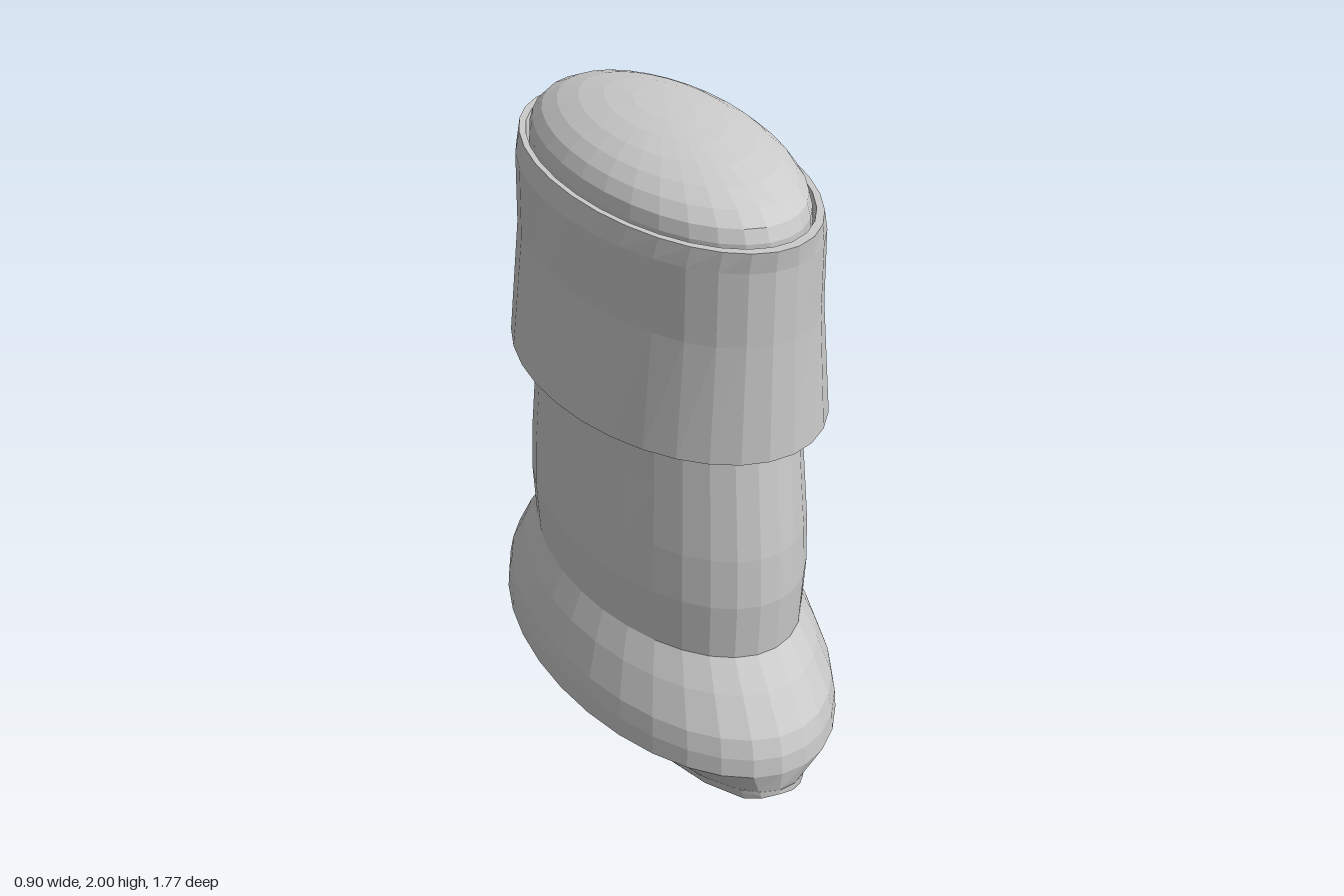
import * as THREE from 'three';

const SEGMENTS = 32;

const material = () => new THREE.MeshStandardMaterial({ color: 0xcccccc, flatShading: true, side: THREE.DoubleSide });

// Skin a grid of points given as equal-length rows
function skin(name, rows) {
  const n = rows[0].length, index = [];
  for (let i = 0; i < rows.length - 1; i++) {
    for (let j = 0; j < n - 1; j++) {
      const a = i * n + j, b = a + 1, c = a + n, d = c + 1;
      index.push(a, b, d, a, d, c);
    }
  }
  const geometry = new THREE.BufferGeometry();
  geometry.setAttribute('position', new THREE.Float32BufferAttribute(rows.flat(2), 3));
  geometry.setIndex(index);
  geometry.computeVertexNormals();
  const mesh = new THREE.Mesh(geometry, material());
  mesh.name = name;
  return mesh;
}

// Loft through oval rings, each [height, half width, half depth]
function ovalLoft(name, rings) {
  return skin(name, rings.map(([y, rx, rz]) =>
    Array.from({ length: SEGMENTS + 1 }, (_, j) => {
      const a = (j / SEGMENTS) * Math.PI * 2;
      return [rx * Math.sin(a), y, rz * Math.cos(a)];
    })));
}

// Oval sole with a raised arch between the two tread pads
function makeSole() {
  const stations = [
    [-0.87, 0.055], [-0.855, 0.045], [-0.82, 0.032], [-0.7, 0.012], [-0.5, 0.004], [-0.33, 0], [-0.17, 0.033],
    [0, 0.033], [0.165, 0.033], [0.27, 0], [0.5, 0.004], [0.7, 0.012], [0.82, 0.032], [0.855, 0.045], [0.87, 0.055],
  ];
  return skin('sole', stations.map(([z, bottom]) => {
    const s = Math.sqrt(Math.max(0, 1 - (z / 0.87) ** 2));
    const half = [[0.32, 0.07], [0.31, 0.055], [0.29, Math.max(bottom, 0.035)], [0.23, bottom]];
    return [
      ...half.map(([x, y]) => [-x * s, y, z]),
      ...half.reverse().map(([x, y]) => [x * s, y, z]),
    ];
  }));
}

export function createModel() {
  const model = new THREE.Group();
  model.name = 'boot';

  model.add(makeSole());

  // Flared foot with an undercut rim
  model.add(ovalLoft('foot', [
    [0.07, 0, 0], [0.07, 0.32, 0.87], [0.14, 0.45, 0.885], [0.2, 0.446, 0.88], [0.26, 0.437, 0.86],
    [0.37, 0.4, 0.78], [0.46, 0.358, 0.7],
  ]));

  // Slightly waisted shaft, running up inside the cuff
  model.add(ovalLoft('shaft', [
    [0.46, 0.358, 0.7], [0.64, 0.37, 0.715], [0.8, 0.366, 0.71], [1, 0.353, 0.69],
    [1.15, 0.345, 0.675], [1.3, 0.34, 0.67],
  ]));

  // Thick cuff with a flat underside and a flared lip
  model.add(ovalLoft('cuff', [
    [1.15, 0.34, 0.67], [1.15, 0.433, 0.753], [1.52, 0.392, 0.756], [1.75, 0.39, 0.764],
    [1.815, 0.37, 0.775], [1.815, 0.352, 0.738], [1.77, 0.345, 0.715],
  ]));

  // Domed top
  const dome = [[1.77, 0.345, 0.72], [1.82, 0.342, 0.72]];
  for (let i = 1; i <= 7; i++) {
    const a = (i / 7) * Math.PI / 2;
    dome.push([1.82 + 0.18 * Math.sin(a), 0.342 * Math.cos(a), 0.72 * Math.cos(a)]);
  }
  model.add(ovalLoft('dome', dome));

  return model;
}
